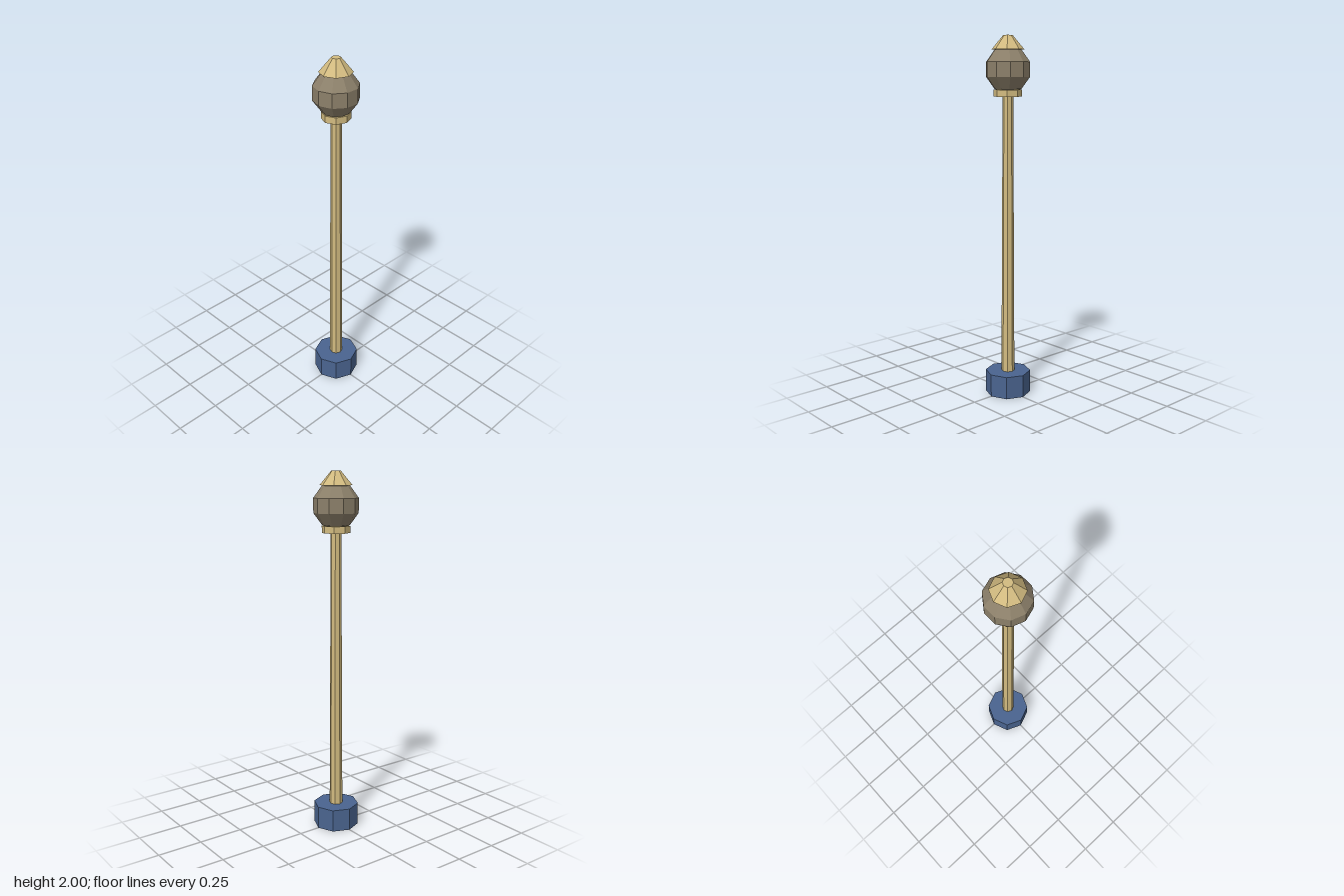
import * as THREE from 'three';

export function createModel() {
  const group = new THREE.Group();
  const mat = (name, color) => {
    const m = new THREE.MeshStandardMaterial({ color, flatShading: true });
    m.name = name;
    return m;
  };
  const brass = mat('brass', 0xd2bb80);
  const blue = mat('blue', 0x4a648f);
  const glass = mat('smokyGlass', 0x8c806a);

  const add = (name, geometry, material, y) => {
    const mesh = new THREE.Mesh(geometry, material);
    mesh.name = name;
    mesh.position.y = y;
    group.add(mesh);
    return mesh;
  };
  // Eight-sided tapered section between two heights
  const section = (name, material, y0, y1, rBottom, rTop) =>
    add(name, new THREE.CylinderGeometry(rTop, rBottom, y1 - y0, 8), material, (y0 + y1) / 2);

  section('base', blue, 0, 0.127, 0.127, 0.127);
  section('pole', brass, 0.127, 1.676, 0.037, 0.029);
  section('collar', brass, 1.676, 1.713, 0.077, 0.077);
  section('cap', brass, 1.925, 2, 0.088, 0.025);

  // Faceted lamp globe, turned so a ridge faces the front
  const globe = add('globe', new THREE.SphereGeometry(0.127, 10, 5), glass, 1.82);
  globe.rotation.y = Math.PI / 2;

  return group;
}
